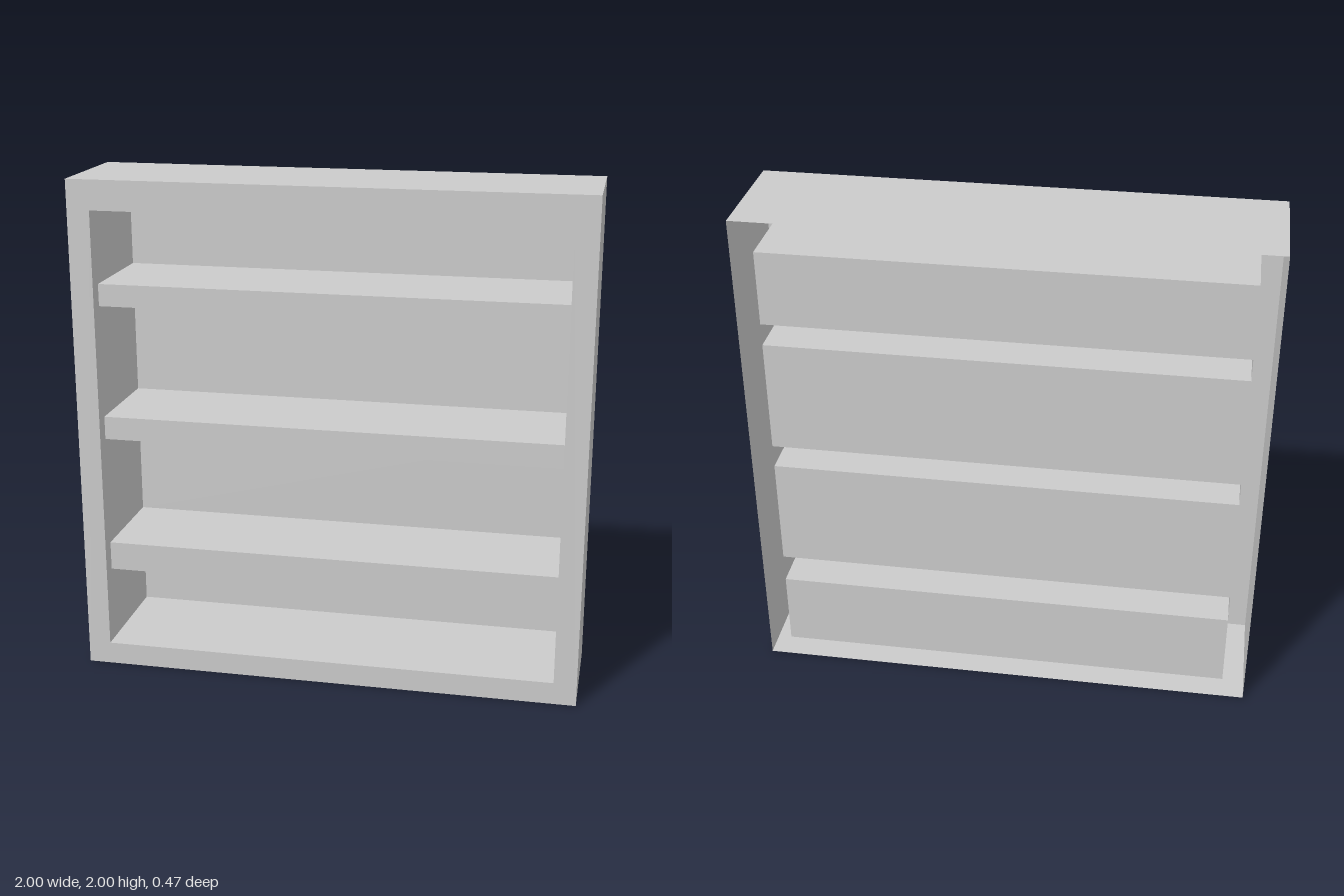
import * as THREE from 'three';

// Shelf unit made of thin sheets: hollow frame and hollow shelves, open at the rear
const D = 0.2375;                                   // half depth
const IN = { x: 0.91, bottom: 0.09, top: 1.883 };   // front opening
const SHELF_FRONT = 0.18;
const SHELVES = [[0.397, 0.513], [0.957, 1.05], [1.5, 1.588]];

const material = new THREE.MeshStandardMaterial({ color: 0xcccccc, side: THREE.DoubleSide, flatShading: true });

function sheet(parent, name, w, h, position, rx = 0, ry = 0) {
  const mesh = new THREE.Mesh(new THREE.PlaneGeometry(w, h), material);
  mesh.name = name;
  mesh.position.set(...position);
  mesh.rotation.set(rx, ry, 0);
  parent.add(mesh);
}

function subgroup(parent, name) {
  const g = new THREE.Group();
  g.name = name;
  parent.add(g);
  return g;
}

export function createModel() {
  const model = new THREE.Group();
  model.name = 'shelfUnit';
  const Q = Math.PI / 2;
  const innerH = IN.top - IN.bottom, innerY = (IN.top + IN.bottom) / 2;

  // Outer casing and lining of the opening
  const casing = subgroup(model, 'outerCasing');
  const lining = subgroup(model, 'innerLining');
  for (const [side, s] of [['left', 1], ['right', -1]]) {
    sheet(casing, side + 'OuterWall', 2 * D, 2, [s, 1, 0], 0, s * Q);
    sheet(lining, side + 'InnerWall', 2 * D, innerH, [s * IN.x, innerY, 0], 0, -s * Q);
  }
  sheet(casing, 'topBoard', 2, 2 * D, [0, 2, 0], -Q);
  sheet(casing, 'baseBoard', 2, 2 * D, [0, 0, 0], Q);
  sheet(lining, 'ceiling', 2 * IN.x, 2 * D, [0, IN.top, 0], Q);
  sheet(lining, 'floor', 2 * IN.x, 2 * D, [0, IN.bottom, 0], -Q);

  // Front rim with the opening cut out
  const rim = new THREE.Shape([[-1, 0], [1, 0], [1, 2], [-1, 2]].map(p => new THREE.Vector2(...p)));
  rim.holes.push(new THREE.Path([[-IN.x, IN.bottom], [-IN.x, IN.top], [IN.x, IN.top], [IN.x, IN.bottom]]
    .map(p => new THREE.Vector2(...p))));
  const frontRim = new THREE.Mesh(new THREE.ShapeGeometry(rim), material);
  frontRim.name = 'frontRim';
  frontRim.position.z = D;
  model.add(frontRim);

  // Shelves: top, underside and front edge
  const shelfD = SHELF_FRONT + D, shelfZ = (SHELF_FRONT - D) / 2;
  for (const [y0, y1] of SHELVES) {
    const shelf = subgroup(model, 'shelf');
    sheet(shelf, 'shelfTop', 2 * IN.x, shelfD, [0, y1, shelfZ], -Q);
    sheet(shelf, 'shelfUnderside', 2 * IN.x, shelfD, [0, y0, shelfZ], Q);
    sheet(shelf, 'shelfEdge', 2 * IN.x, y1 - y0, [0, (y0 + y1) / 2, SHELF_FRONT]);
  }

  // Back panels fill the bays between the shelves
  const levels = [IN.bottom, ...SHELVES.flat(), IN.top];
  for (let i = 0; i < levels.length; i += 2) {
    const y0 = levels[i], y1 = levels[i + 1];
    sheet(model, 'backPanel', 2 * IN.x, y1 - y0, [0, (y0 + y1) / 2, -D]);
  }
  return model;
}
